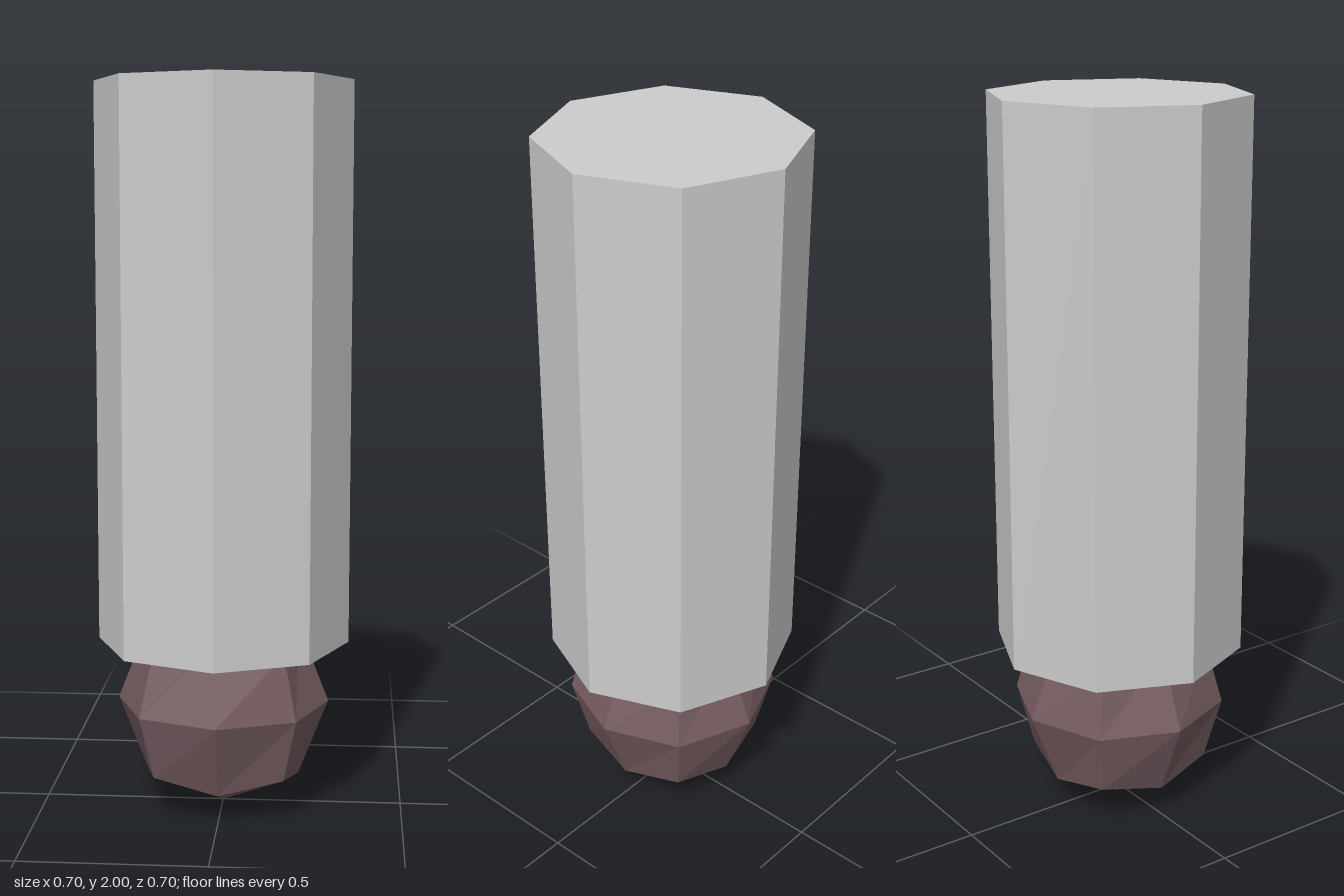
import * as THREE from 'three';

export function createModel() {
  const model = new THREE.Group();
  const paleGrey = new THREE.MeshStandardMaterial({ color: 0xcccccc, flatShading: true });
  const duskyBrown = new THREE.MeshStandardMaterial({ color: 0x755c60, flatShading: true });

  // Eight-sided column with closed ends
  const column = new THREE.Mesh(new THREE.CylinderGeometry(0.35, 0.35, 1.535, 8), paleGrey);
  column.name = 'column';
  column.position.y = 1.2325;
  model.add(column);

  // Faceted ball: a divided cube whose face centres, edge middles and corners are pulled round
  const reach = [0, 0.295, 0.212, 0.177];
  const shape = new THREE.BoxGeometry(2, 2, 2, 2, 2, 2);
  const pos = shape.attributes.position;
  const v = new THREE.Vector3();
  for (let i = 0; i < pos.count; i++) {
    v.fromBufferAttribute(pos, i).round();
    const axes = Math.abs(v.x) + Math.abs(v.y) + Math.abs(v.z);
    v.multiplyScalar(reach[axes]);
    pos.setXYZ(i, v.x, v.y, v.z);
  }
  const flat = shape.toNonIndexed();
  flat.computeVertexNormals();
  const ball = new THREE.Mesh(flat, duskyBrown);
  ball.name = 'ball';
  ball.position.y = 0.295;
  model.add(ball);

  return model;
}
